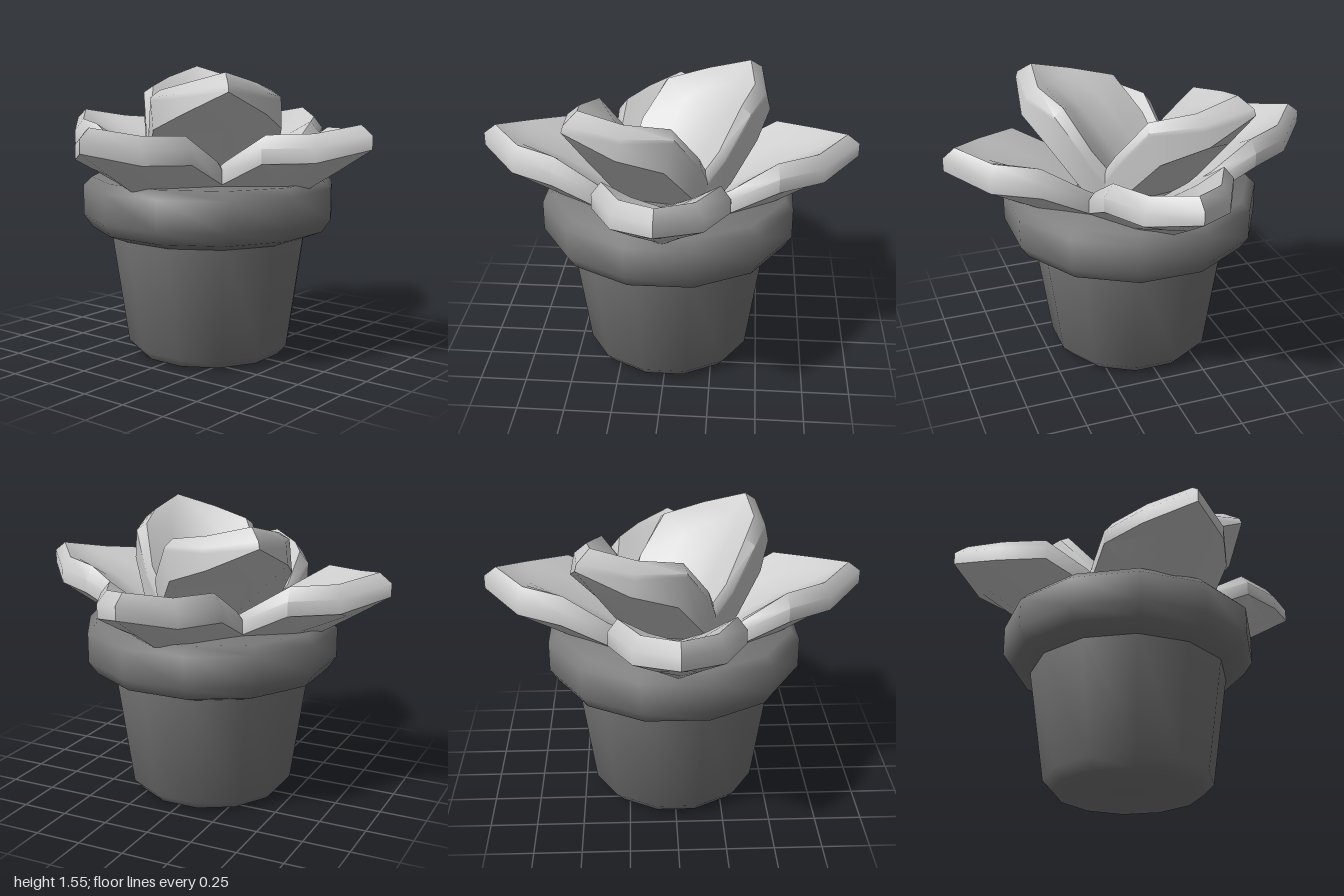
import * as THREE from 'three';
import { toCreasedNormals } from 'three/addons/utils/BufferGeometryUtils.js';

const leafMaterial = new THREE.MeshStandardMaterial({ color: 0xcccccc, side: THREE.DoubleSide });
const potMaterial = new THREE.MeshStandardMaterial({ color: 0x7a7a7a, side: THREE.DoubleSide });

// Cross-sections from base to tip. z: distance out, w: half width,
// keel: underside middle, bw/by: underside belly, low/up: outer edge heights,
// cz/cw/cy: rim crest, mid: height of the dished middle
const OUTER = [
  { z: 0.10, w: 0.26, keel: 0.70, bw: 0.13, by: 0.75, low: 0.84, up: 0.92, cz: 0.10, cw: 0.24, cy: 0.95, mid: 0.88 },
  { z: 0.34, w: 0.34, keel: 0.80, bw: 0.17, by: 0.87, low: 0.985, up: 1.06, cz: 0.34, cw: 0.31, cy: 1.10, mid: 0.99 },
  { z: 0.58, w: 0.34, keel: 0.915, bw: 0.17, by: 0.985, low: 1.105, up: 1.18, cz: 0.57, cw: 0.29, cy: 1.245, mid: 1.12 },
  { z: 0.81, w: 0.22, keel: 1.055, bw: 0.11, by: 1.08, low: 1.115, up: 1.19, cz: 0.78, cw: 0.18, cy: 1.255, mid: 1.21 },
  { z: 1.00, w: 0, keel: 1.175, bw: 0, by: 1.175, low: 1.175, up: 1.245, cz: 0.935, cw: 0, cy: 1.295, mid: 1.295 },
];

// The upper leaves have the same outline but taller, more cupped sides
const LOW = [0.96, 1.13, 1.26, 1.20, 1.175];
const CREST = [1.03, 1.19, 1.32, 1.29, 1.295];
const MID = [0.92, 1.07, 1.20, 1.25, 1.295];
const UPPER = OUTER.map((s, i) => ({
  ...s, bw: s.w * 0.98, by: s.low,
  low: LOW[i], up: LOW[i] + 0.3 * (CREST[i] - LOW[i]), cy: CREST[i], mid: MID[i],
}));

// Thick cupped leaf pointing along +z
function leafGeometry(sections) {
  const positions = [];
  const index = [];
  for (const s of sections) {
    const side = [
      [s.bw, s.by, s.z],
      [s.w, s.low, s.z],
      [s.w, s.up, s.z],
      [s.cw, s.cy, s.cz],
      [s.cw * 0.5, s.mid + (s.cy - s.mid) * 0.38, s.cz],
    ];
    const mirrored = side.map(([x, y, z]) => [-x, y, z]).reverse();
    const loop = [[0, s.keel, s.z], ...side, [0, s.mid, s.cz], ...mirrored];
    positions.push(...loop.flat());
  }
  const n = 12;
  for (let i = 0; i < sections.length - 1; i++) {
    for (let j = 0; j < n; j++) {
      const k = (j + 1) % n;
      const a = i * n + j, b = i * n + k, c = b + n, d = a + n;
      index.push(a, b, c, a, c, d);
    }
  }
  // Close the base
  for (let j = 1; j < n - 1; j++) index.push(0, j + 1, j);
  const geometry = new THREE.BufferGeometry();
  geometry.setAttribute('position', new THREE.Float32BufferAttribute(positions, 3));
  geometry.setIndex(index);
  return toCreasedNormals(geometry, 0.85);
}

// Twelve-sided turned part; radii are measured to the flat sides
function lathe(name, points) {
  const corner = 1 / Math.cos(Math.PI / 12);
  const profile = points.map(([r, y]) => new THREE.Vector2(r * corner, y));
  const geometry = new THREE.LatheGeometry(profile, 12, Math.PI / 12);
  const mesh = new THREE.Mesh(toCreasedNormals(geometry, 0.95), potMaterial);
  mesh.name = name;
  return mesh;
}

export function createModel() {
  const model = new THREE.Group();
  model.name = 'pottedSucculent';

  // Tapered pot and its thick rolled rim, filled level to the top
  model.add(lathe('pot', [[0, 0], [0.385, 0], [0.435, 0.055], [0.52, 0.67]]));
  model.add(lathe('rim', [
    [0.48, 0.66], [0.52, 0.66], [0.62, 0.7], [0.665, 0.77],
    [0.665, 0.93], [0.62, 0.975], [0, 0.975],
  ]));

  function addLeaf(name, geometry, angle, tilt, out, lift) {
    const leaf = new THREE.Mesh(geometry, leafMaterial);
    leaf.name = name;
    leaf.rotation.set(-tilt, angle, 0, 'YXZ');
    leaf.position.set(Math.sin(angle) * out, lift, Math.cos(angle) * out);
    model.add(leaf);
  }

  // Four spreading leaves, then two steeper ones on a diagonal
  const outer = leafGeometry(OUTER);
  const upper = leafGeometry(UPPER);
  for (let i = 0; i < 4; i++) addLeaf('outerLeaf' + (i + 1), outer, i * Math.PI / 2, 0, 0, 0);
  for (let i = 0; i < 2; i++) {
    addLeaf('upperLeaf' + (i + 1), upper, Math.PI / 4 + i * Math.PI, Math.PI / 9, 0.155, 0.013);
  }
  return model;
}
